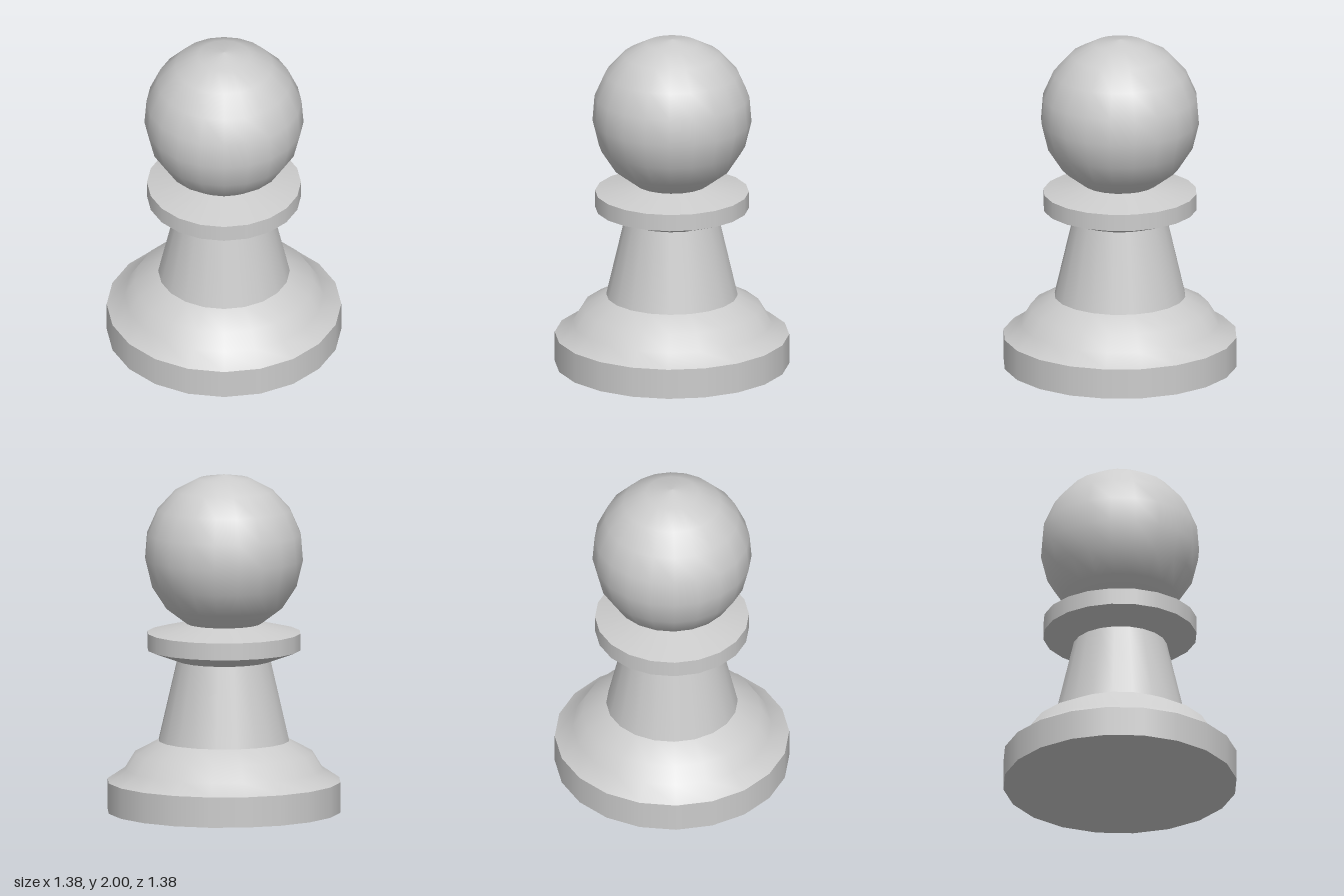
import * as THREE from 'three';

const SIDES = 20;

export function createModel() {
  const group = new THREE.Group();
  group.name = 'pawn';
  const grey = new THREE.MeshStandardMaterial({ color: 0xcccccc });
  grey.name = 'light grey';

  // Each part is a smooth band of revolution; separate bands keep sharp edges between them
  const turn = (name, profile) => {
    const points = profile.map(([r, y]) => new THREE.Vector2(r, y));
    const mesh = new THREE.Mesh(new THREE.LatheGeometry(points, SIDES), grey);
    mesh.name = name;
    group.add(mesh);
  };

  // Base
  turn('baseBottom', [[0, 0], [0.69, 0]]);
  turn('baseRim', [[0.69, 0], [0.69, 0.18]]);
  turn('baseShoulder', [[0.69, 0.18], [0.585, 0.25], [0.527, 0.345], [0.387, 0.42]]);

  // Stem
  turn('stem', [[0.387, 0.42], [0.277, 0.895]]);

  // Collar
  turn('collarUnderside', [[0.277, 0.895], [0.453, 0.96]]);
  turn('collarRim', [[0.453, 0.96], [0.453, 1.06]]);
  turn('collarTop', [[0.453, 1.06], [0.22, 1.115]]);

  // Ball
  turn('ball', [
    [0.22, 1.115], [0.344, 1.208], [0.43, 1.34], [0.468, 1.495], [0.456, 1.647],
    [0.393, 1.79], [0.288, 1.904], [0.155, 1.974], [0, 2],
  ]);

  return group;
}
